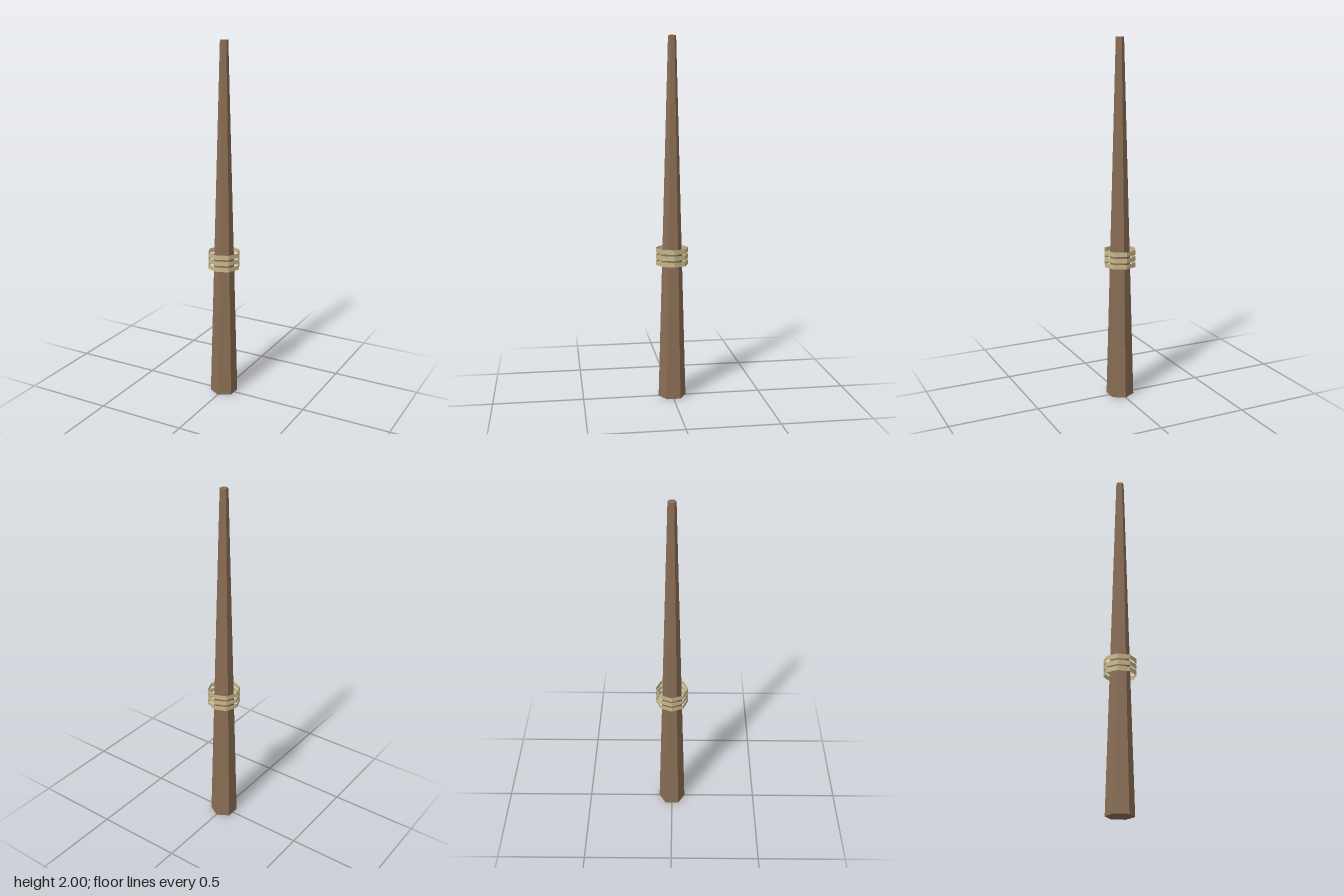
import * as THREE from 'three';

export function createModel() {
  const model = new THREE.Group();
  model.name = 'post';

  const wood = new THREE.MeshStandardMaterial({ color: 0x8b6f55, flatShading: true });
  wood.name = 'brown wood';
  const rope = new THREE.MeshStandardMaterial({ color: 0xc8b88a, flatShading: true, side: THREE.DoubleSide });
  rope.name = 'pale rope';

  // Tapered six-sided pole
  const pole = new THREE.Mesh(new THREE.CylinderGeometry(0.022, 0.077, 2, 6), wood);
  pole.name = 'pole';
  pole.position.y = 1;
  model.add(pole);

  // Three loose, open eight-sided bands around the pole
  const bandGeometry = new THREE.CylinderGeometry(0.09, 0.09, 0.026, 8, 1, true);
  for (let i = 0; i < 3; i++) {
    const band = new THREE.Mesh(bandGeometry, rope);
    band.name = `ropeBand${i + 1}`;
    band.position.y = 0.769 + i * 0.035;
    model.add(band);
  }

  return model;
}
